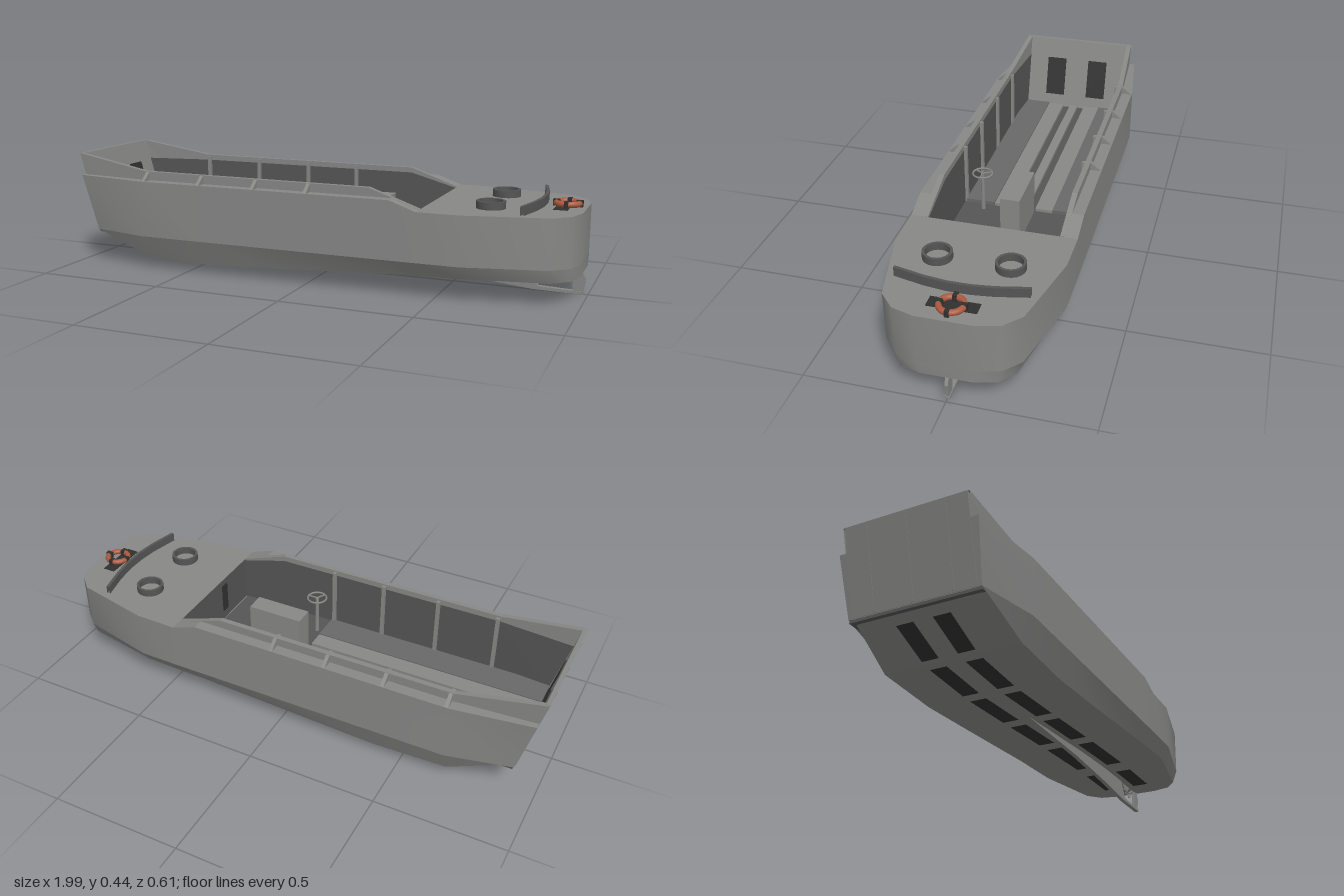
import * as THREE from 'three';
import { toCreasedNormals } from 'three/addons/utils/BufferGeometryUtils.js';

const paint = (color) => new THREE.MeshStandardMaterial({ color, side: THREE.DoubleSide });
const grey = paint(0x878786);
const midGrey = paint(0x686868);
const darkGrey = paint(0x555555);
const black = paint(0x303030);
const orange = paint(0xac5a3e);

// Skin a list of cross-sections (each a list of [x, y, z])
function loft(rows, closed = false) {
  const p = [];
  const n = rows[0].length;
  for (let i = 0; i < rows.length - 1; i++) {
    for (let j = 0; j < (closed ? n : n - 1); j++) {
      const k = (j + 1) % n;
      const [a, b, c, d] = [rows[i][j], rows[i][k], rows[i + 1][k], rows[i + 1][j]];
      p.push(...a, ...b, ...c, ...a, ...c, ...d);
    }
  }
  const g = new THREE.BufferGeometry();
  g.setAttribute('position', new THREE.Float32BufferAttribute(p, 3));
  g.computeVertexNormals();
  return g;
}

// Side profile in x, y extruded across z
function plate(points, width, z = 0) {
  const shape = new THREE.Shape(points.map(([x, y]) => new THREE.Vector2(x, y)));
  return new THREE.ExtrudeGeometry(shape, { depth: width, bevelEnabled: false }).translate(0, 0, z - width / 2);
}

// Piecewise linear lookup in [x, value] pairs
function lookup(table, x) {
  for (let i = 1; i < table.length; i++) {
    const [x0, v0] = table[i - 1], [x1, v1] = table[i];
    if (x <= x1 || i === table.length - 1) return v0 + (v1 - v0) * THREE.MathUtils.clamp((x - x0) / (x1 - x0), 0, 1);
  }
}

// Bow rake: x of the ramp plane at height y
const rake = (y) => -0.92 - (y - 0.135) * 0.262;
const coamingZ = (x) => lookup([[-1, 0.242], [-0.68, 0.262], [0.44, 0.262]], x);
const wallThickness = 0.02;

export function createModel() {
  const group = new THREE.Group();
  const add = (name, geometry, material = grey, x = 0, y = 0, z = 0) => {
    const m = new THREE.Mesh(geometry, material);
    m.name = name;
    m.position.set(x, y, z);
    group.add(m);
    return m;
  };
  const box = (name, w, h, d, x, y, z, mat = grey) => add(name, new THREE.BoxGeometry(w, h, d), mat, x, y, z);

  // Hull stations: x, gunwale half width, gunwale y, chine half width, bottom half width, bottom y
  const stations = [
    [-0.978, 0.265, 0.355, 0.25, 0.23, 0.133],
    [-0.68, 0.305, 0.353, 0.305, 0.265, 0.045],
    [-0.4, 0.305, 0.353, 0.305, 0.265, 0.035],
    [-0.1, 0.305, 0.353, 0.305, 0.265, 0.05],
    [0.34, 0.305, 0.353, 0.305, 0.268, 0.076],
    [0.44, 0.305, 0.318, 0.305, 0.27, 0.08],
    [0.6, 0.303, 0.318, 0.303, 0.27, 0.085],
    [0.9, 0.235, 0.318, 0.232, 0.213, 0.085],
    [0.96, 0.18, 0.318, 0.178, 0.165, 0.086],
    [0.983, 0.1, 0.318, 0.099, 0.09, 0.088],
  ];
  const bottom = stations.map((s, i) => [i ? s[0] : -0.92, s[5]]);
  const halfSections = (s) => stations.map(([x, tw, ty, cw, bw, by], i) => {
    const low = i ? x : -0.92;
    return [[x, ty, s * tw], [low, 0.135, s * cw], [low, by, s * bw]];
  });
  // Topsides and chine bevel wrap round the stern from one bow corner to the other
  const left = halfSections(1), right = halfSections(-1);
  const wrap = [...left, ...[...right].reverse()];
  add('topsides', toCreasedNormals(loft(wrap.map((r) => r.slice(0, 2))), 0.65));
  add('chineBevel', toCreasedNormals(loft(wrap.map((r) => r.slice(1))), 0.65));
  add('hullBottom', loft(left.map((r, i) => [r[2], right[i][2]])));
  add('bowFrame', loft([right[0], left[0]]));

  // Decks
  add('sternDeck', loft(stations.slice(5).map(([x, w, y]) => [[x, y, -w], [x, y, w]])));
  for (const s of [-1, 1]) {
    const rows = stations.slice(0, 6).map(([x, w, y]) => [[x, y, s * (coamingZ(x) - 0.005)], [x, y, s * w]]);
    add('sideDeck', loft(s > 0 ? rows : rows.reverse()));
  }

  // Well: floor, aft bulkhead, side walls rising into the coaming
  const floorY = 0.13;
  box('wellFloor', 1.35, 0.01, 0.5, -0.24, floorY, 0, darkGrey);
  box('aftBulkhead', 0.01, 0.184, 0.51, 0.446, 0.222, 0, darkGrey);
  box('bulkheadDoor', 0.006, 0.12, 0.035, 0.44, 0.23, 0.07, black);
  for (const s of [-1, 1]) {
    const rows = [[-1, 0.44], [-0.68, 0.387], [0.25, 0.385], [0.44, 0.319]].map(([x, y], i) => {
      const z = coamingZ(x);
      const foot = i ? x : rake(floorY) + 0.005;
      const inner = s * (z - wallThickness);
      return [[foot, floorY, inner], [x, y, inner], [x, y, s * z], [foot, floorY, s * z]];
    });
    add('sideWall', loft(s > 0 ? rows : rows.reverse(), true));

    // Dark lining on the inner face of the wall
    const lining = [[-0.9, -0.965, 0.36], [-0.68, -0.68, 0.365], [0.25, 0.25, 0.365], [0.44, 0.44, 0.313]].map(([foot, x, y]) => {
      const z = s * (coamingZ(x) - wallThickness - 0.002);
      return [[foot, floorY, z], [x, y, z]];
    });
    add('wallLining', loft(s > 0 ? lining : lining.reverse()), darkGrey);

    // Frames inside the well and brackets on the side deck
    for (const x of [-0.67, -0.43, -0.2, 0.015]) {
      box('wallFrame', 0.014, 0.25, 0.014, x, 0.255, s * 0.235);
      const bracket = new THREE.Shape([[0.255, 0.35], [0.303, 0.352], [0.262, 0.385], [0.255, 0.385]]
        .map(([z, y]) => new THREE.Vector2(-s * z, y)));
      const g = new THREE.ExtrudeGeometry(bracket, { depth: 0.014, bevelEnabled: false });
      add('deckBracket', g.rotateY(Math.PI / 2), grey, x - 0.007, 0, 0);
    }
    // Floor boards and the ledge along the wall
    box('floorBoard', 0.93, 0.014, 0.068, -0.44, 0.14, s * 0.083);
    box('sideLedge', 0.93, 0.02, 0.115, -0.44, 0.14, s * 0.1755, midGrey);
  }
  box('floorCentreBoard', 0.93, 0.014, 0.036, -0.44, 0.14, 0);

  // Bow ramp with inner grilles and outer stiffeners
  const slab = (y0, y1, d0, d1) => [[rake(y0) + d0, y0], [rake(y0) + d1, y0], [rake(y1) + d1, y1], [rake(y1) + d0, y1]];
  add('bowRamp', plate(slab(0.135, 0.44, -0.002, 0.014), 0.47));
  for (const z of [-0.095, 0.095]) add('rampGrille', plate(slab(0.19, 0.355, 0.01, 0.018), 0.085, z), black);
  for (const z of [-0.15, 0, 0.15]) add('rampStiffener', plate(slab(0.14, 0.435, -0.004, 0), 0.008, z));

  // Engine cover and helm
  box('engineCover', 0.22, 0.185, 0.075, 0.14, 0.222, -0.008);
  add('helmPost', new THREE.CylinderGeometry(0.007, 0.009, 0.165, 8), grey, 0.055, 0.212, 0.155);
  add('steeringWheel', new THREE.TorusGeometry(0.038, 0.004, 6, 20).rotateX(Math.PI / 2), grey, 0.055, 0.295, 0.155);
  for (let i = 0; i < 3; i++) {
    box('wheelSpoke', 0.038, 0.004, 0.005, 0.055, 0.295, 0.155).geometry.translate(0.019, 0, 0).rotateY(i * Math.PI * 2 / 3);
  }

  // Gun tub rings on the stern deck
  const ringProfile = [[0.043, 0], [0.053, 0], [0.053, 0.028], [0.043, 0.028], [0.043, 0]].map(([r, y]) => new THREE.Vector2(r, y));
  for (const s of [-1, 1]) {
    add('deckRing', toCreasedNormals(new THREE.LatheGeometry(ringProfile, 20), 0.6), darkGrey, 0.665, 0.317, s * 0.128);
  }

  // Breakwater
  const breakwater = [[0.79, -0.232], [0.815, -0.12], [0.825, -0.04], [0.825, 0.04], [0.815, 0.12], [0.79, 0.232]];
  add('breakwater', loft(breakwater.map(([x, z]) => [[x, 0.316, z], [x, 0.352, z], [x + 0.012, 0.352, z], [x + 0.012, 0.316, z]]), true), darkGrey);

  // Lifebuoy on its dark rest
  box('buoyRest', 0.05, 0.004, 0.17, 0.9, 0.318, -0.005, black);
  add('lifebuoy', new THREE.TorusGeometry(0.041, 0.011, 10, 28).rotateX(Math.PI / 2), orange, 0.914, 0.331, -0.004);
  for (let i = 0; i < 4; i++) {
    const a = i * Math.PI / 2;
    box('buoyBand', 0.024, 0.0235, 0.015, 0.914 + Math.cos(a) * 0.041, 0.331, -0.004 + Math.sin(a) * 0.041, black).rotation.y = -a;
  }

  // Skeg, rudder and propeller
  add('skeg', plate([[-0.25, 0.05], [0.3, 0.04], [0.6, 0.022], [0.8, 0.003], [0.985, 0], [0.985, 0.01], [0.82, 0.016], [0.78, 0.09], [0.3, 0.085]], 0.018));
  add('rudder', plate([[0.945, 0.008], [0.982, 0.008], [0.99, 0.06], [0.98, 0.08], [0.965, 0.1], [0.945, 0.1]], 0.012));
  add('propellerShaft', new THREE.CylinderGeometry(0.004, 0.004, 0.14, 8).rotateZ(Math.PI / 2), grey, 0.83, 0.062, 0);
  add('shaftStrut', plate([[0.8, 0.088], [0.9, 0.088], [0.86, 0.062], [0.84, 0.062]], 0.008));
  for (let i = 0; i < 3; i++) {
    const blade = add('propellerBlade', new THREE.BoxGeometry(0.005, 0.018, 0.012).translate(0, 0.01, 0), grey, 0.895, 0.062, 0);
    blade.rotation.x = Math.PI + i * Math.PI * 2 / 3;
  }

  // Dark panels along the underside
  const panelRanges = [[-0.86, -0.7], [-0.65, -0.43], [-0.38, -0.13], [-0.07, 0.18], [0.25, 0.55], [0.65, 0.86]];
  for (const s of [-1, 1]) {
    for (const [x0, x1] of panelRanges) {
      const rows = [x0, x1].map((x) => {
        const y = lookup(bottom, x) - 0.003;
        return [[x, y, s * 0.07 + 0.033], [x, y, s * 0.07 - 0.033]];
      });
      add('bottomPanel', loft(rows), black);
    }
  }
  return group;
}
